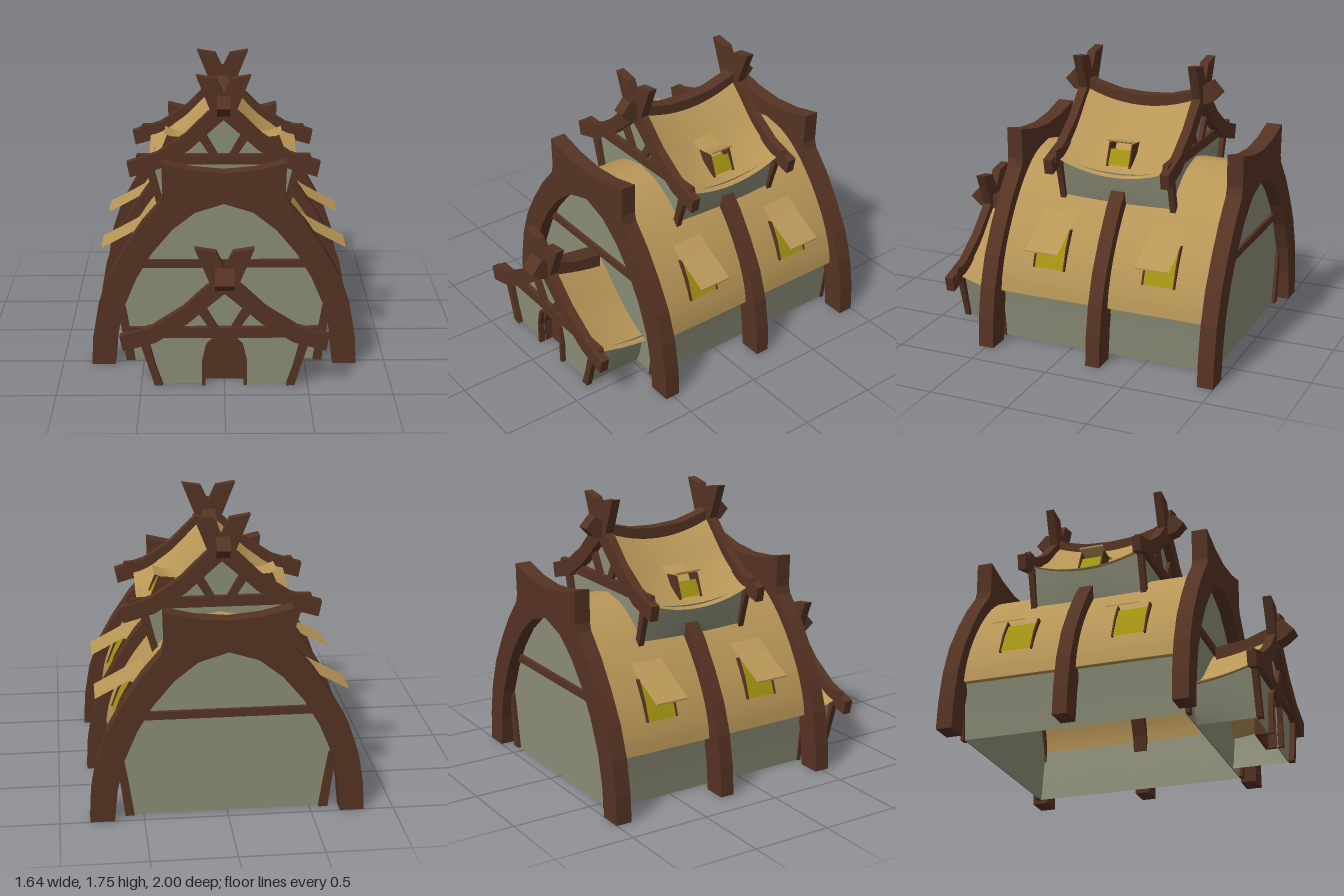
import * as THREE from 'three';
import { toCreasedNormals } from 'three/addons/utils/BufferGeometryUtils.js';

const timber = new THREE.MeshStandardMaterial({ color: 0x553323 });
const plaster = new THREE.MeshStandardMaterial({ color: 0x8b8d77, side: THREE.DoubleSide });
const thatch = new THREE.MeshStandardMaterial({ color: 0xb89657, side: THREE.DoubleSide });
const glass = new THREE.MeshStandardMaterial({ color: 0xa39412, side: THREE.DoubleSide });
timber.name = 'timber'; plaster.name = 'plaster'; thatch.name = 'thatch'; glass.name = 'window yellow';

const flip = (pts) => pts.map(([x, y]) => [-x, y]).reverse();
// right half (ending on the centre line or not) -> full symmetric outline
const sym = (half) => [...half, ...flip(half.filter(([x]) => x !== 0))];
const smooth = (pts, n) =>
  new THREE.SplineCurve(pts.map((p) => new THREE.Vector2(...p))).getPoints(n).map((v) => [Math.abs(v.x) < 1e-6 ? 0 : v.x, v.y]);

function add(parent, name, geo, mat) {
  const m = new THREE.Mesh(geo, mat);
  m.name = name;
  parent.add(m);
  return m;
}
// outline in x,y extruded from z0 to z1
function plate(parent, name, pts, z0, z1, mat = timber) {
  const geo = new THREE.ExtrudeGeometry(new THREE.Shape(pts.map((p) => new THREE.Vector2(...p))),
    { depth: z1 - z0, bevelEnabled: false });
  geo.translate(0, 0, z0);
  return add(parent, name, geo, mat);
}
// outline in z,y extruded across x
function sidePlate(parent, name, pts, width) {
  const m = plate(parent, name, pts, -width / 2, width / 2);
  m.geometry.rotateY(-Math.PI / 2);
}
// profile swept along z, lowered by dip(z)
function sheet(parent, name, pts, z0, z1, mat, dip = () => 0, closed = false, steps = 12) {
  const pos = [], idx = [], n = pts.length;
  for (let j = 0; j <= steps; j++) {
    const z = z0 + ((z1 - z0) * j) / steps;
    for (const [x, y] of pts) pos.push(x, y - (y > 0.005 ? dip(z) : 0), z);
  }
  for (let j = 0; j < steps; j++)
    for (let i = 0; i < (closed ? n : n - 1); i++) {
      const a = j * n + i, b = j * n + ((i + 1) % n);
      idx.push(a, b, b + n, a, b + n, a + n);
    }
  const geo = new THREE.BufferGeometry();
  geo.setAttribute('position', new THREE.Float32BufferAttribute(pos, 3));
  geo.setIndex(idx);
  return add(parent, name, toCreasedNormals(geo, 0.6), mat);
}
// closed thick roof section from its upper half profile
function roofLoop(half) {
  const e = half[0][0];
  const inner = half.map(([x, y]) => [x * 0.945, y - 0.03 * (1 - x / e)]);
  return [...sym(half), ...sym(inner).reverse()];
}

// half profiles, from the foot up to the centre line
const ARCH_OUT = [[0.82, 0], [0.81, 0.18], [0.775, 0.38], [0.71, 0.57], [0.61, 0.75], [0.5, 0.915], [0.385, 1.05]];
const ARCH_IN = [[0.675, 0], [0.655, 0.2], [0.615, 0.38], [0.535, 0.57], [0.44, 0.73], [0.315, 0.88], [0.175, 0.99], [0, 1.045]];
const MAIN_ROOF = smooth([[0.69, 0.34], [0.67, 0.45], [0.615, 0.6], [0.525, 0.76], [0.42, 0.9], [0.31, 1.01], [0.17, 1.1], [0, 1.14]], 24);
const SMALL_ROOF = smooth([[0.5, 0.3], [0.41, 0.335], [0.33, 0.385], [0.23, 0.46], [0.09, 0.6], [0, 0.68]], 16);
const GABLE = [[0.175, 0.88], [0.085, 0.66], [0.11, 0.64], [0.245, 0.51], [0.43, 0.39], [0.625, 0.33], [0.605, 0.235],
  [0.41, 0.29], [0.22, 0.41], [0.06, 0.55], [0, 0.6]];

function archFrame(parent, name, top, z0, z1) {
  plate(parent, name, [...sym([...ARCH_OUT, ...top]), ...sym(ARCH_IN).reverse()], z0, z1);
}

// crossed roof timbers with brace, struts and posts, facing +z from z = 0
function gableFrame(name) {
  const g = new THREE.Group();
  g.name = name;
  plate(g, 'crossedRafters', [[0, 0.76], [0.05, 0.86], ...GABLE, ...flip(GABLE.slice(0, -1)), [-0.05, 0.86]], 0.005, 0.06);
  plate(g, 'brace', sym([[0.58, 0.31], [0.56, 0.375]]), 0, 0.035);
  for (const f of [(p) => p, flip]) {
    plate(g, 'strut', f([[0.03, 0.36], [0.085, 0.36], [0.165, 0.48], [0.12, 0.515]]), 0, 0.03);
    plate(g, 'post', f([[0.42, 0], [0.455, 0.12], [0.505, 0.28], [0.455, 0.3], [0.41, 0.12], [0.37, 0]]), 0, 0.036);
  }
  return g;
}

// pane, jambs and flared hood on both slopes
function roofWindow(parent, z0, z1, pane, hood, jamb, depth) {
  for (const s of [1, -1]) {
    const m = (pts) => (s > 0 ? pts : flip(pts));
    sheet(parent, 'windowPane', m(pane), z0, z1, glass, undefined, false, 1);
    sheet(parent, 'windowPaneInside', m(pane.map(([x, y]) => [x - depth, y - depth * 0.4])), z0, z1, glass, undefined, false, 1);
    const low = hood.map(([x, y]) => [x, y - 0.01]).reverse();
    sheet(parent, 'windowHood', m([...hood, ...low]), z0, z1, thatch, undefined, true, 4);
    for (const z of [z0, z1 - 0.01]) plate(parent, 'windowJamb', m(jamb), z, z + 0.01);
  }
}

export function createModel() {
  const house = new THREE.Group();
  house.name = 'house';

  // Great arches with top beams at both ends, plain arch in the middle
  const beamTop = [[0.37, 1.1], [0.375, 1.3], [0.19, 1.255], [0, 1.237]];
  archFrame(house, 'frontArch', beamTop, 0.45, 0.55);
  archFrame(house, 'backArch', beamTop, -1, -0.9);
  archFrame(house, 'middleArch', [[0.2, 1.14], [0, 1.17]], -0.27, -0.18);

  // Main hall: roof, side walls, end walls with trim
  sheet(house, 'mainRoof', roofLoop(MAIN_ROOF), -0.91, 0.46, thatch, undefined, true);
  const wall = [[0.6, 0], [0.62, 0.17], [0.65, 0.35]];
  for (const f of [(p) => p, flip]) sheet(house, 'sideWall', f(wall), -0.92, 0.47, plaster);
  const endWall = sym([...wall, ...MAIN_ROOF.slice(1).map(([x, y]) => [x * 0.97, y - 0.01])]);
  for (const [z, d] of [[0.465, 1], [-0.915, -1]]) {
    const strip = (name, pts) => plate(house, name, pts, d > 0 ? z : z - 0.025, d > 0 ? z + 0.025 : z);
    plate(house, 'endWall', endWall, z - 0.004, z + 0.004, plaster);
    strip('endWallBeam', sym([[0.52, 0.615], [0.48, 0.665]]));
    for (const f of [(p) => p, flip])
      strip('cornerTrim', f([[0.61, 0], [0.63, 0.17], [0.66, 0.36], [0.61, 0.36], [0.58, 0.17], [0.555, 0]]));
  }
  for (const z of [0.03, -0.69])
    roofWindow(house, z, z + 0.212, [[0.658, 0.52], [0.61, 0.64], [0.56, 0.73]],
      smooth([[0.47, 0.835], [0.575, 0.772], [0.67, 0.72], [0.768, 0.668]], 8),
      [[0.6, 0.5], [0.665, 0.52], [0.62, 0.65], [0.56, 0.76], [0.5, 0.74]], 0.055);

  const smallWall = [[0.4, 0], [0.43, 0.12], [0.47, 0.3]];
  const smallGable = SMALL_ROOF.slice(3).map(([x, y]) => [x * 0.98, y - 0.01]);

  // Front porch
  const porch = new THREE.Group();
  porch.name = 'porch';
  house.add(porch);
  const porchDip = (z) => 0.08 * (1 - Math.pow(Math.max(0, (z - 0.46) / 0.38), 1.5));
  sheet(porch, 'porchRoof', roofLoop(SMALL_ROOF), 0.46, 0.84, thatch, porchDip, true);
  for (const f of [(p) => p, flip]) sheet(porch, 'porchWall', f(smallWall), 0.46, 0.835, plaster, (z) => porchDip(z) * 0.7);
  const doorIn = [[0.115, 0], [0.115, 0.15], [0.09, 0.25], [0.055, 0.285]];
  const doorOut = [[0.135, 0], [0.135, 0.15], [0.11, 0.26], [0.065, 0.305]];
  plate(porch, 'porchFront', [...sym([...smallWall, ...smallGable]), ...sym(doorIn).reverse()], 0.825, 0.834, plaster);
  plate(porch, 'doorFrame', [...sym(doorOut), ...sym(doorIn).reverse()], 0.75, 0.865);
  plate(porch, 'door', sym(doorIn), 0.75, 0.77);
  const porchFrame = gableFrame('porchGable');
  porchFrame.position.z = 0.832;
  porch.add(porchFrame);
  sidePlate(porch, 'porchRidge', [[0.5, 0.54], [0.7, 0.565], [0.83, 0.6], [0.93, 0.635], [1, 0.69], [0.925, 0.772],
    [0.83, 0.715], [0.7, 0.665], [0.5, 0.635]], 0.115);

  // Raised upper storey
  const upper = new THREE.Group();
  upper.name = 'upperStorey';
  upper.position.y = 0.87;
  upper.scale.x = 0.965;
  house.add(upper);
  const mid = -0.215;
  const upperDip = (z) => 0.07 * (1 - Math.pow((z - mid) / 0.35, 2));
  sheet(upper, 'upperRoof', roofLoop(SMALL_ROOF), -0.57, 0.14, thatch, upperDip, true);
  for (const f of [(p) => p, flip]) sheet(upper, 'upperWall', f(smallWall), -0.565, 0.135, plaster, (z) => upperDip(z) * 0.7);
  for (const d of [1, -1]) {
    const z = mid + d * 0.345;
    plate(upper, 'upperEndWall', [...sym([...smallWall, ...smallGable]), [-0.2, 0.19], [0, 0.24], [0.2, 0.19]],
      z - 0.004, z + 0.004, plaster);
    const frame = gableFrame('upperGable');
    frame.position.z = z;
    if (d < 0) frame.rotation.y = Math.PI;
    upper.add(frame);
  }
  const ridgeTop = [[0.085, 0.445 + 0.2], [0.515, 0.695], [0.45, 0.765], [0.315, 0.69], [0.165, 0.65], [0, 0.64]];
  const ridgeLow = [[0, 0.545], [0.215, 0.57], [0.395, 0.62], [0.46, 0.637]];
  const ridge = sym([...ridgeLow.slice(1), ...ridgeTop.slice(1, -1), [0, 0.64]]);
  sidePlate(upper, 'upperRidge', [...ridge, ridgeLow[0]].map(([z, y]) => [z + mid, y]), 0.085);
  roofWindow(upper, -0.292, -0.135, [[0.41, 0.28], [0.36, 0.37]],
    smooth([[0.19, 0.435], [0.29, 0.405], [0.39, 0.437]], 8),
    [[0.36, 0.25], [0.42, 0.275], [0.365, 0.41], [0.26, 0.4]], 0.05);

  return house;
}
